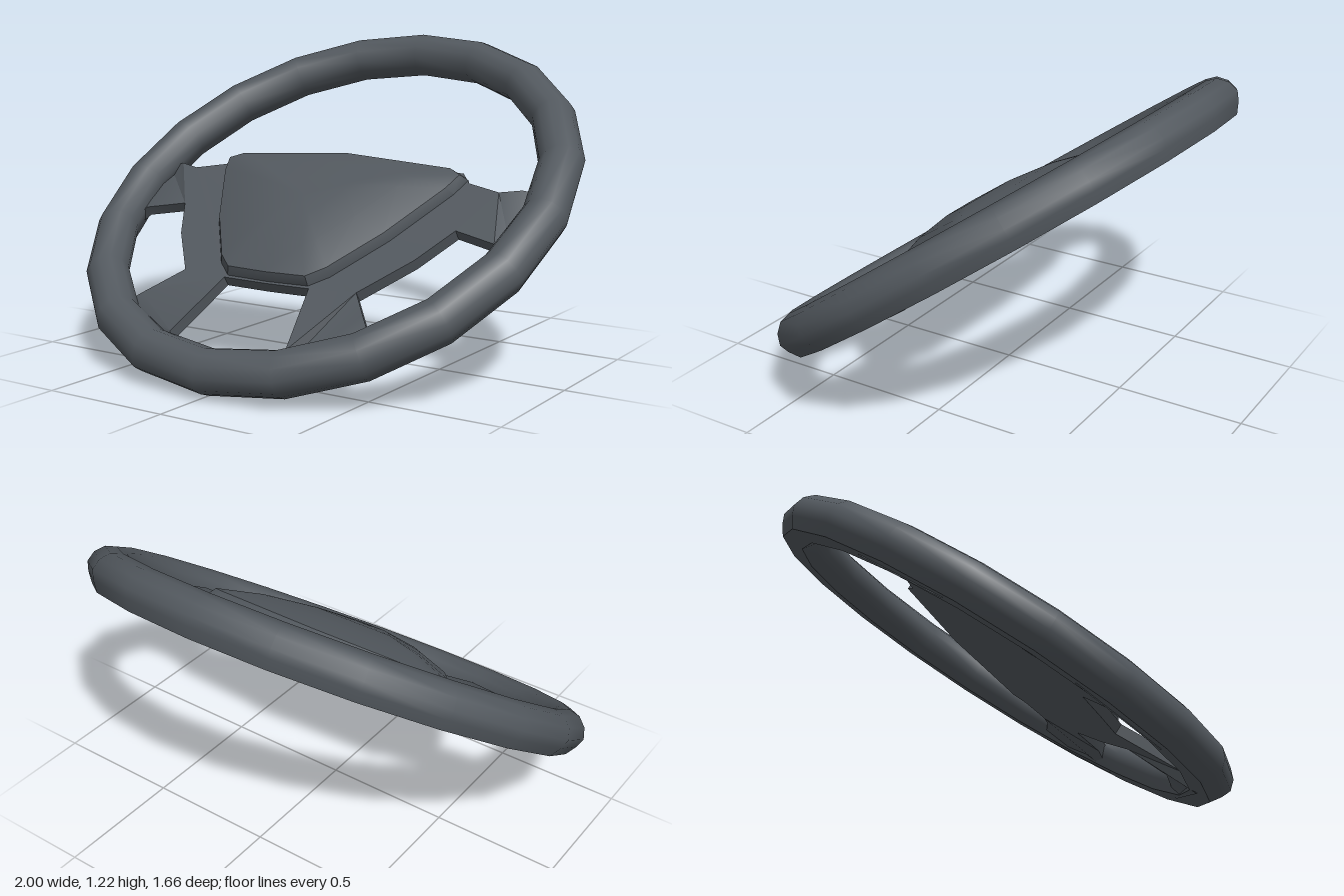
import * as THREE from 'three';
import { toCreasedNormals } from 'three/addons/utils/BufferGeometryUtils.js';

const TILT = THREE.MathUtils.degToRad(35);

// Completes a half outline (x >= 0, first and last points on x = 0) by mirroring it
function mirrored(half) {
  return [...half, ...half.slice(1, -1).reverse().map(([x, z]) => [-x, z])];
}

// Twenty-sided grip with a rounded face and a flat underside
function rimParts(material) {
  const profile = [
    [0.957, -0.07], [0.985, -0.03], [1, 0.005], [0.988, 0.047], [0.957, 0.08], [0.914, 0.092],
    [0.872, 0.08], [0.84, 0.047], [0.829, 0.005], [0.843, -0.03], [0.87, -0.07],
  ].map(([r, y]) => new THREE.Vector2(r, y));
  const grip = new THREE.Mesh(new THREE.LatheGeometry(profile, 20), material);
  grip.name = 'rimGrip';
  const under = new THREE.Mesh(new THREE.LatheGeometry([profile[10], profile[0]], 20), material);
  under.name = 'rimUnderside';
  return [grip, under];
}

// Flat hub plate with four spokes whose flared ends dip under the rim
function spokePlate(material) {
  const outline = mirrored([
    [0, -0.227], [0.52, -0.175], [0.565, -0.125], [0.7, -0.09], [0.785, -0.11], [0.9, -0.14],
    [0.88, 0.23], [0.79, 0.17], [0.62, 0.125], [0.53, 0.29], [0.385, 0.475],
    [0.46, 0.57], [0.5, 0.62], [0.61, 0.66], [0.24, 0.87], [0.255, 0.775], [0.19, 0.487], [0, 0.49],
  ]);
  const shape = new THREE.Shape(outline.map(([x, z]) => new THREE.Vector2(x, z)));
  const geometry = new THREE.ExtrudeGeometry(shape, { depth: 0.043, bevelEnabled: false });
  geometry.rotateX(Math.PI / 2).translate(0, 0.018, 0);
  const p = geometry.attributes.position;
  for (let i = 0; i < p.count; i++) {
    const radius = Math.hypot(p.getX(i), p.getZ(i));
    const dip = THREE.MathUtils.clamp((radius - 0.82) / 0.06, 0, 1);
    p.setY(i, p.getY(i) - 0.049 * dip);
  }
  const mesh = new THREE.Mesh(toCreasedNormals(geometry, 0.5), material);
  mesh.name = 'spokePlate';
  return mesh;
}

// Domed centre pad: the outline shrinks towards its middle as it rises
function centrePad(material) {
  const outline = mirrored([
    [0, -0.218], [0.5, -0.172], [0.555, -0.14], [0.53, -0.06], [0.39, 0.21],
    [0.245, 0.42], [0.18, 0.475], [0, 0.48],
  ]);
  const rings = [[1, 0.01], [1, 0.02], [0.96, 0.054], [0.65, 0.096], [0.3, 0.119], [0, 0.122]];
  const middle = 0.12;
  const positions = [];
  const index = [];
  const n = outline.length;
  rings.forEach(([scale, y], i) => {
    outline.forEach(([x, z], j) => {
      positions.push(x * scale, y, middle + (z - middle) * scale);
      if (i === 0) return;
      const k = (j + 1) % n;
      const a = (i - 1) * n;
      const b = i * n;
      index.push(a + k, a + j, b + j);
      if (scale > 0) index.push(a + k, b + j, b + k);
    });
  });
  const geometry = new THREE.BufferGeometry();
  geometry.setAttribute('position', new THREE.Float32BufferAttribute(positions, 3));
  geometry.setIndex(index);
  const mesh = new THREE.Mesh(toCreasedNormals(geometry, 0.5), material);
  mesh.name = 'centrePad';
  return mesh;
}

export function createModel() {
  const material = new THREE.MeshStandardMaterial({ color: 0x52585e });
  const wheel = new THREE.Group();
  wheel.name = 'steeringWheel';
  wheel.add(...rimParts(material), spokePlate(material), centrePad(material));
  wheel.rotation.x = TILT;
  wheel.position.y = 0.607;

  const model = new THREE.Group();
  model.add(wheel);
  return model;
}
